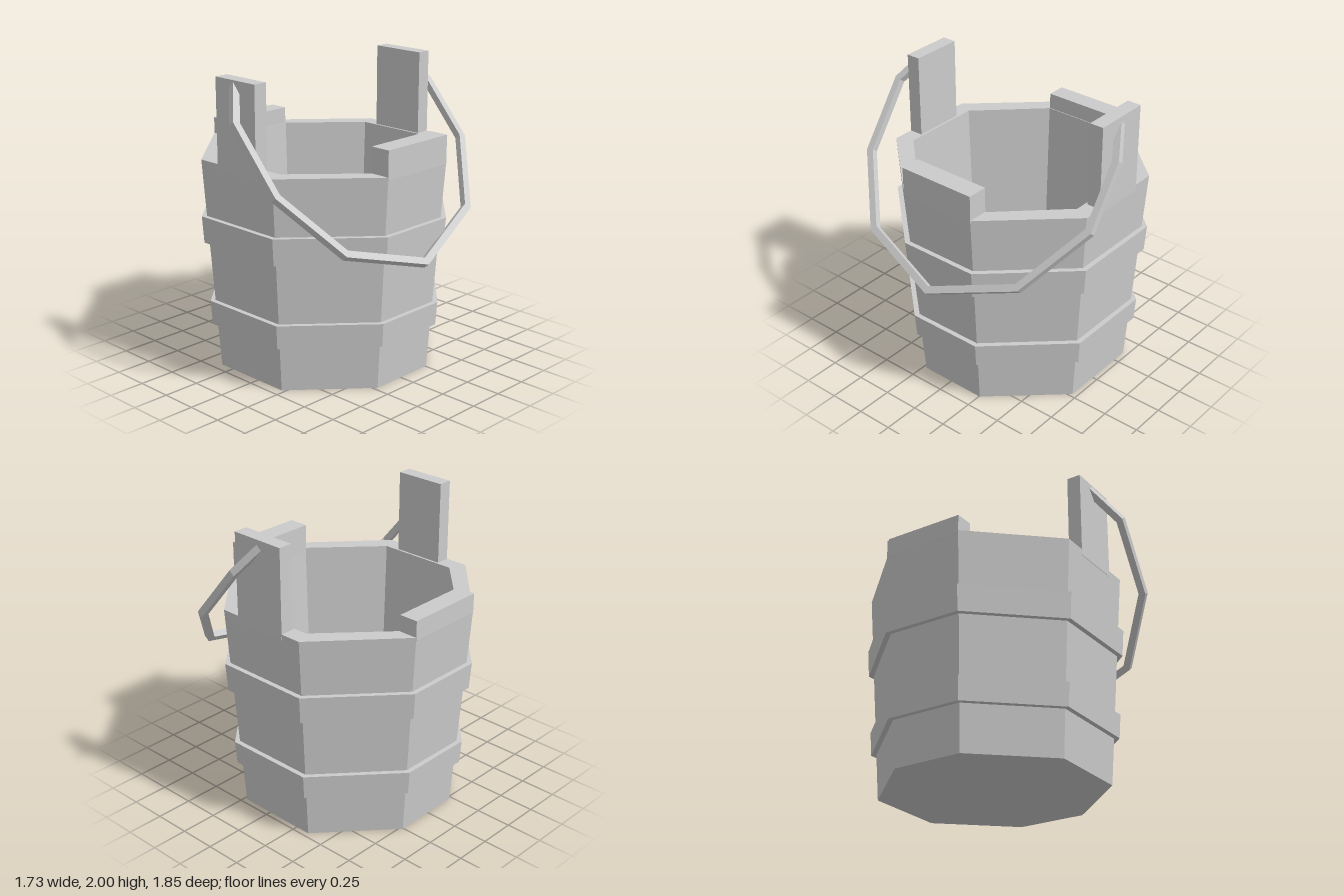
import * as THREE from 'three';

const CX = -0.065, CZ = -0.015; // axis of the bucket

// Octagon at height y: half sizes ax, az and half lengths hx, hz of the front and side faces
function octagon(y, ax, az, hx, hz) {
  return [[-hx, az], [hx, az], [ax, hz], [ax, -hz], [hx, -az], [-hx, -az], [-ax, -hz], [-ax, hz]]
    .map(([x, z]) => [CX + x, y, CZ + z]);
}

// Outer wall outline at height y, pushed out by a margin
function wall(y, out = 0) {
  const t = y / 1.44;
  return octagon(y, 0.705 + 0.1 * t + out, 0.7 + 0.095 * t + out,
    0.29 + 0.04 * t + out * 0.4, 0.24 + 0.035 * t + out * 0.4);
}

// Flat-faced surface through successive rings, optionally capped at both ends
function loft(rings, capped) {
  const pos = [];
  const tri = (a, b, c) => pos.push(...a, ...b, ...c);
  for (let r = 0; r < rings.length - 1; r++) {
    const lo = rings[r], hi = rings[r + 1], n = lo.length;
    for (let i = 0; i < n; i++) {
      const j = (i + 1) % n;
      tri(lo[i], lo[j], hi[j]);
      tri(lo[i], hi[j], hi[i]);
    }
  }
  if (capped) {
    const first = rings[0], last = rings[rings.length - 1];
    for (let i = 1; i < first.length - 1; i++) {
      tri(first[0], first[i + 1], first[i]);
      tri(last[0], last[i], last[i + 1]);
    }
  }
  const g = new THREE.BufferGeometry();
  g.setAttribute('position', new THREE.Float32BufferAttribute(pos, 3));
  g.computeVertexNormals();
  return g;
}

// Mitred strip of constant width along an open polyline
function stripShape(pts, width) {
  const side = (sign) => pts.map((p, i) => {
    const d1 = p.clone().sub(pts[Math.max(i - 1, 0)]).normalize();
    const d2 = pts[Math.min(i + 1, pts.length - 1)].clone().sub(p).normalize();
    if (i === 0) d1.copy(d2);
    if (i === pts.length - 1) d2.copy(d1);
    const n1 = new THREE.Vector2(-d1.y, d1.x);
    const m = n1.clone().add(new THREE.Vector2(-d2.y, d2.x)).normalize();
    return p.clone().addScaledVector(m, sign * width / 2 / m.dot(n1));
  });
  return new THREE.Shape([...side(1), ...side(-1).reverse()]);
}

export function createModel() {
  const group = new THREE.Group();
  const material = new THREE.MeshStandardMaterial({ color: 0xcccccc, flatShading: true });
  const add = (name, geometry) => {
    const mesh = new THREE.Mesh(geometry, material);
    mesh.name = name;
    group.add(mesh);
    return mesh;
  };

  // Bucket: outer wall, rim, inner wall and floor
  add('bucket', loft([
    wall(0), wall(1.44),
    octagon(1.44, 0.67, 0.685, 0.28, 0.275),
    octagon(0.15, 0.62, 0.635, 0.27, 0.26),
  ], true));

  // Hoops around the staves
  for (const [name, y0, y1] of [['lowerHoop', 0.31, 0.47], ['upperHoop', 0.88, 1.06]]) {
    add(name, loft([wall(y0, -0.01), wall(y0, 0.033), wall(y1, 0.033), wall(y1, -0.01)], false));
  }

  // Raised boards standing on the rim: x, y and z ranges
  const boards = [
    ['frontBoard', -0.235, 0.12, 1.4, 2, 0.685, 0.78],
    ['backBoard', -0.25, 0.135, 1.4, 2, -0.81, -0.715],
    ['rightBoard', -0.87, -0.74, 1.42, 1.55, -0.29, 0.26],
    ['leftBoard', 0.6, 0.74, 1.42, 1.61, -0.29, 0.26],
  ];
  for (const [name, x0, x1, y0, y1, z0, z1] of boards) {
    add(name, new THREE.BoxGeometry(x1 - x0, y1 - y0, z1 - z0))
      .position.set((x0 + x1) / 2, (y0 + y1) / 2, (z0 + z1) / 2);
  }

  // Handle: angular hoop in a tilted plane, given as [height, z]
  const slope = new THREE.Vector3(0.63, -0.777, 0).normalize();
  const path = [[1.98, 0.75], [1.77, 0.905], [1.37, 0.88], [1.01, 0.585], [0.848, 0],
    [1.045, -0.6], [1.42, -0.9], [1.77, -0.88], [1.98, -0.77]]
    .map(([y, z]) => new THREE.Vector2((1.95 - y) / -slope.y, z));
  const bar = 0.047;
  const handle = new THREE.ExtrudeGeometry(stripShape(path, bar), { depth: bar, bevelEnabled: false });
  handle.translate(0, 0, -bar / 2);
  const across = new THREE.Vector3(0, 0, 1);
  handle.applyMatrix4(new THREE.Matrix4()
    .makeBasis(slope, across, slope.clone().cross(across))
    .setPosition(-0.07, 1.95, 0));
  add('handle', handle);

  return group;
}
